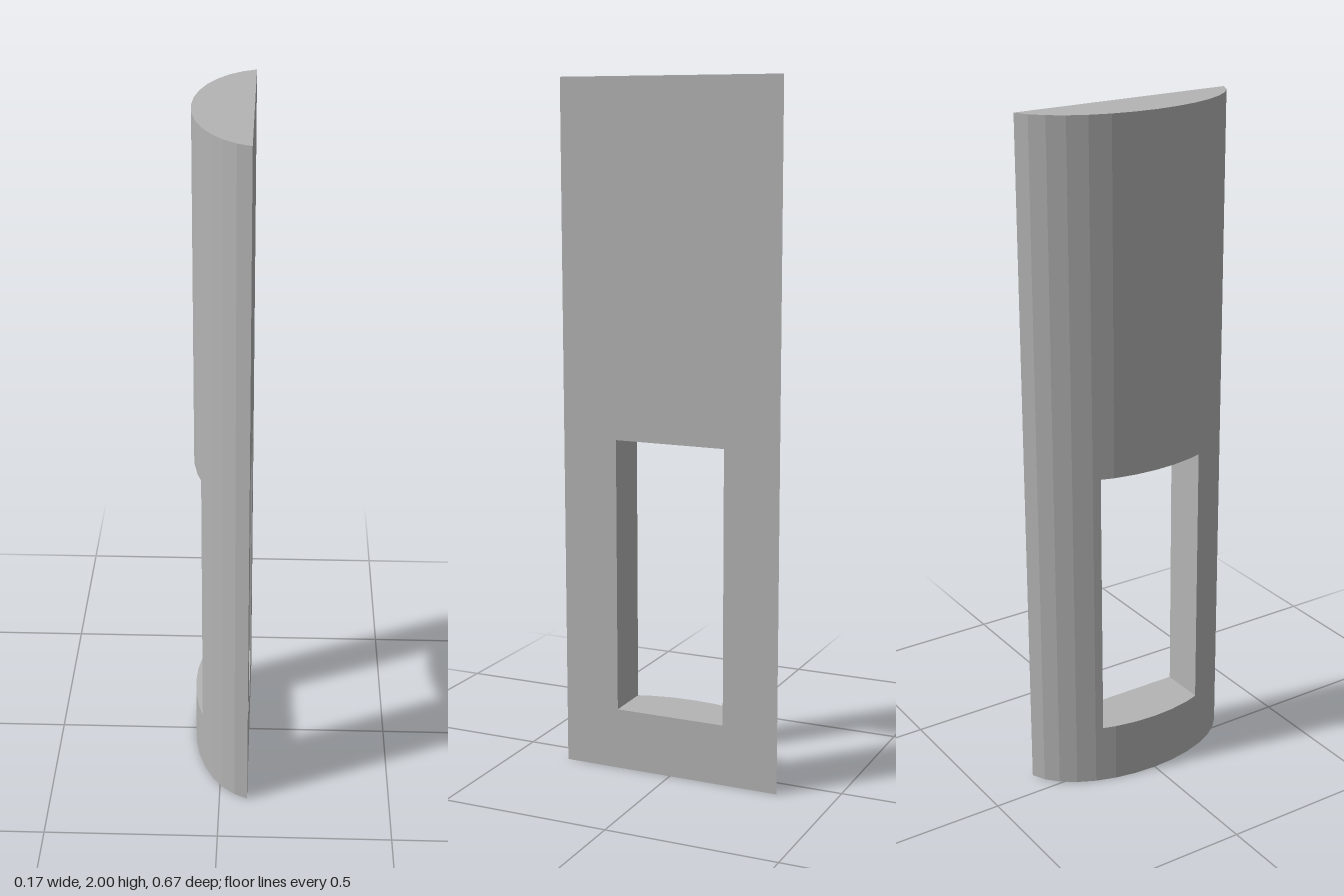
import * as THREE from 'three';

export function createModel() {
  const grey = new THREE.MeshStandardMaterial({ color: 0xb4b4b4 });
  grey.name = 'plain grey';

  // Elliptical rounded side: 14 facets of a 32-sided ellipse, cut off by a flat face
  const step = Math.PI / 16, half = 7;
  const arc = [];
  for (let i = -half; i <= half; i++) {
    arc.push([0.122 - 0.205 * Math.cos(i * step), 0.34 * Math.sin(i * step)]);
  }
  const flat = arc[0][0];

  // Window opening through the panel
  const wz = 0.167, levels = [0, 0.18, 0.984, 2];

  // Add the window edges to the cross-section
  const section = [];
  arc.forEach((p, i) => {
    section.push(p);
    const q = arc[i + 1];
    if (!q) return;
    for (const z of [-wz, wz]) {
      if (z > p[1] && z < q[1]) {
        section.push([p[0] + (q[0] - p[0]) * (z - p[1]) / (q[1] - p[1]), z]);
      }
    }
  });

  const pos = [];
  const same = (a, b) => a.every((v, i) => v === b[i]);
  const tri = (a, b, c) => {
    if (!same(a, b) && !same(b, c) && !same(a, c)) pos.push(...a, ...b, ...c);
  };
  const quad = (a, b, c, d) => { tri(a, b, c); tri(a, c, d); };

  // Horizontal cap of one column, facing up or down
  const cap = ([x0, z0], [x1, z1], y, up) => {
    const c = [[x0, y, z0], [x1, y, z1], [flat, y, z1], [flat, y, z0]];
    quad(...(up ? c : c.reverse()));
  };

  for (let i = 0; i < section.length - 1; i++) {
    const p = section[i], q = section[i + 1];
    const [x0, z0] = p, [x1, z1] = q;
    const open = Math.abs((z0 + z1) / 2) < wz;
    for (let k = 0; k < 3; k++) {
      if (open && k === 1) continue;
      const y0 = levels[k], y1 = levels[k + 1];
      // Flat face and rounded face
      quad([flat, y0, z1], [flat, y0, z0], [flat, y1, z0], [flat, y1, z1]);
      quad([x0, y0, z0], [x1, y0, z1], [x1, y1, z1], [x0, y1, z0]);
    }
    cap(p, q, levels[0], false);
    cap(p, q, levels[3], true);
    // Window sill and lintel
    if (open) {
      cap(p, q, levels[1], true);
      cap(p, q, levels[2], false);
    }
  }

  // Window side walls
  for (const [x, z] of section.filter(s => Math.abs(s[1]) === wz)) {
    const c = [[x, levels[1], z], [flat, levels[1], z], [flat, levels[2], z], [x, levels[2], z]];
    quad(...(z < 0 ? c : c.reverse()));
  }

  const geometry = new THREE.BufferGeometry();
  geometry.setAttribute('position', new THREE.Float32BufferAttribute(pos, 3));
  geometry.computeVertexNormals();

  const panel = new THREE.Mesh(geometry, grey);
  panel.name = 'windowedHalfColumn';
  const group = new THREE.Group();
  group.name = 'halfColumn';
  group.add(panel);
  return group;
}
